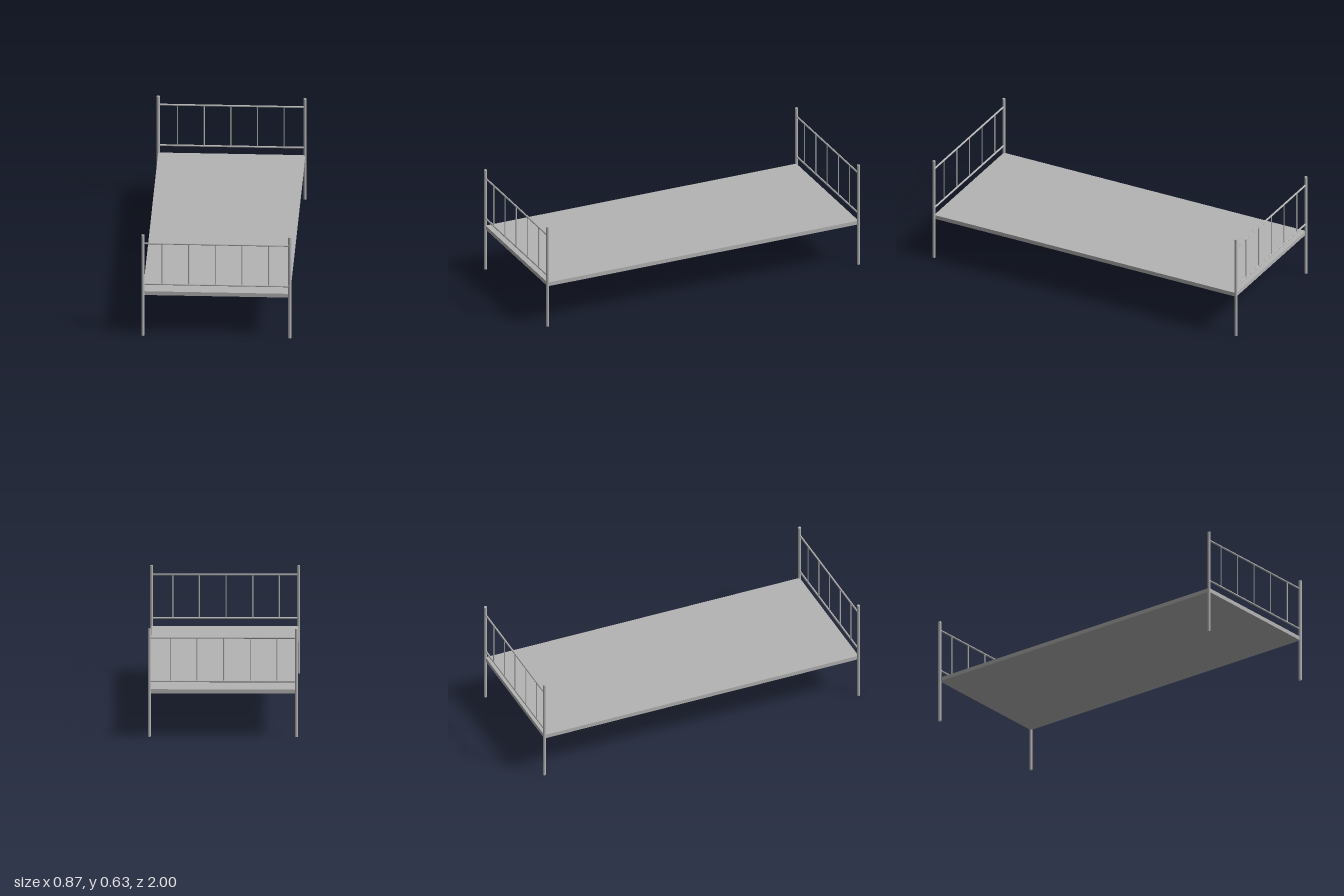
import * as THREE from 'three';

const HALF_WIDTH = 0.425;
const HALF_LENGTH = 0.991;
const POST_HEIGHT = 0.634;
const RAIL_LOW = 0.325;
const RAIL_HIGH = 0.581;

export function createModel() {
  const bed = new THREE.Group();
  bed.name = 'bed';

  const grey = new THREE.MeshStandardMaterial({ color: 0xb4b4b4 });
  grey.name = 'grey metal';

  function rod(name, radius, length, x, y, parent) {
    const mesh = new THREE.Mesh(new THREE.CylinderGeometry(radius, radius, length, 20), grey);
    mesh.name = name;
    mesh.position.set(x, y, 0);
    parent.add(mesh);
    return mesh;
  }

  // Flat sleeping platform
  const platform = new THREE.Mesh(
    new THREE.BoxGeometry(2 * HALF_WIDTH, 0.024, 2 * HALF_LENGTH), grey);
  platform.name = 'platform';
  platform.position.y = 0.266;
  bed.add(platform);

  // Matching end frames: posts, rails and spindles
  for (const [name, z] of [['footboard', HALF_LENGTH], ['headboard', -HALF_LENGTH]]) {
    const frame = new THREE.Group();
    frame.name = name;
    frame.position.z = z;

    for (const side of [-1, 1]) {
      rod('post', 0.009, POST_HEIGHT, side * HALF_WIDTH, POST_HEIGHT / 2, frame);
    }
    for (const y of [RAIL_LOW, RAIL_HIGH]) {
      rod('rail', 0.0055, 2 * HALF_WIDTH, 0, y, frame).rotation.z = Math.PI / 2;
    }
    for (let i = -2; i <= 2; i++) {
      rod('spindle', 0.0035, RAIL_HIGH - RAIL_LOW, -0.005 + i * 0.154,
        (RAIL_LOW + RAIL_HIGH) / 2, frame);
    }
    bed.add(frame);
  }

  return bed;
}
